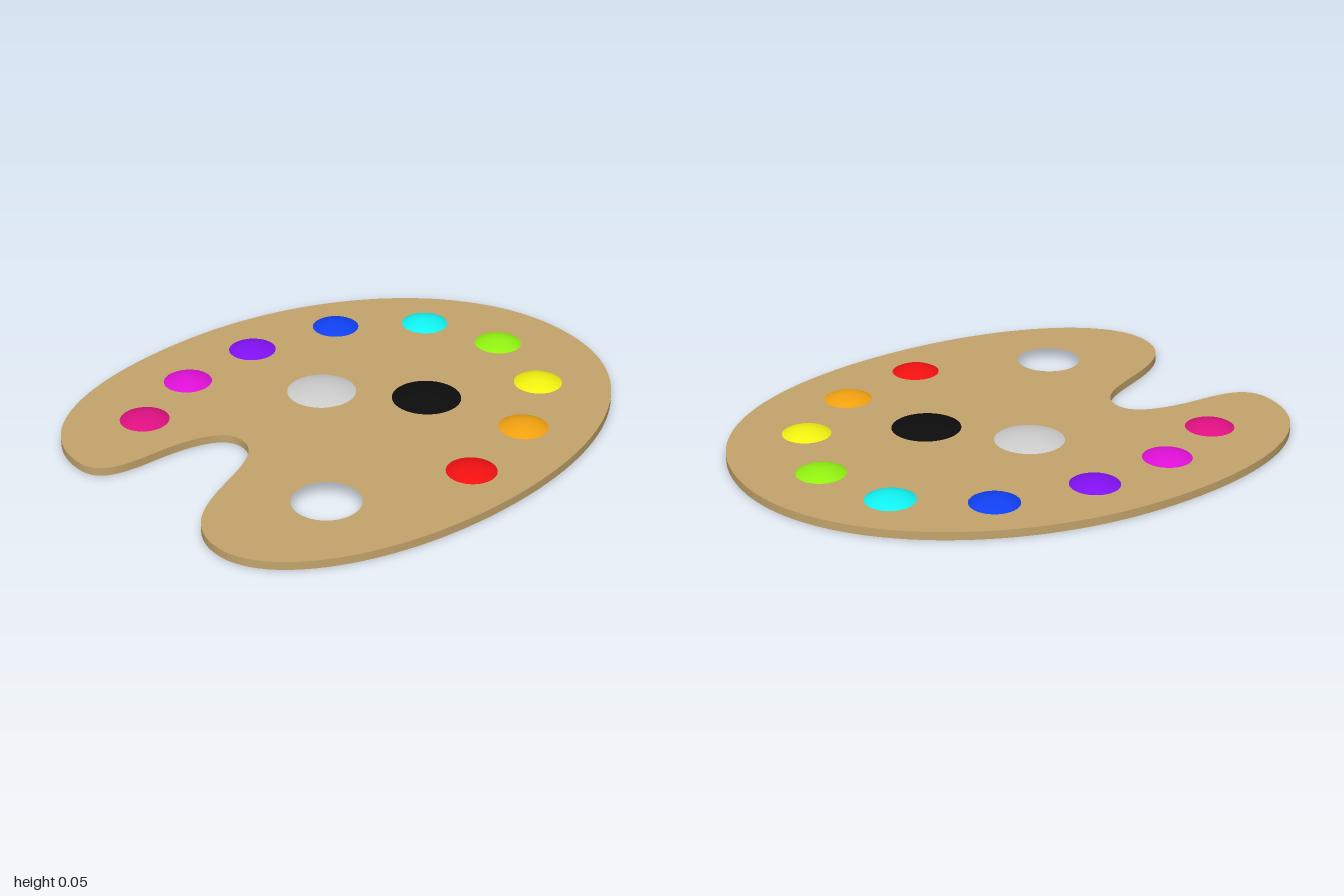
import * as THREE from 'three';

const THICKNESS = 0.03;
const DOME = 0.024;

// Kidney-shaped board with a thumb hole; the shape's y is -z
function boardGeometry() {
  const shape = new THREE.Shape();
  const curve = (ax, az, bx, bz, x, z) => shape.bezierCurveTo(ax, -az, bx, -bz, x, -z);
  shape.moveTo(-0.12, 0.832);
  curve(0.5, -0.832, 1, -0.45, 1, 0.03);          // back right
  curve(1, 0.58, 0.45, 0.828, -0.12, 0.828);      // front right
  curve(-0.62, 0.828, -0.975, 0.63, -0.975, 0.4); // front lobe
  curve(-0.975, 0.08, -0.48, 0.12, -0.48, -0.09); // into the notch
  curve(-0.48, -0.19, -0.62, -0.22, -0.8, -0.22); // out of the notch
  curve(-0.93, -0.225, -1, -0.25, -1, -0.35);     // tip of back lobe
  curve(-1, -0.66, -0.6, -0.832, -0.12, -0.832);  // back lobe

  const hole = new THREE.Path();
  hole.absarc(-0.525, -0.423, 0.122, 0, Math.PI * 2, true);
  shape.holes.push(hole);

  const geometry = new THREE.ExtrudeGeometry(shape, {
    depth: THICKNESS, bevelEnabled: false, curveSegments: 32,
  });
  return geometry.rotateX(-Math.PI / 2);
}

// Shallow spherical cap whose rim lies at y = 0
function capGeometry(radius) {
  const R = (radius * radius + DOME * DOME) / (2 * DOME);
  const geometry = new THREE.SphereGeometry(R, 48, 12, 0, Math.PI * 2, 0, Math.asin(radius / R));
  return geometry.translate(0, DOME - R, 0);
}

export function createModel() {
  const model = new THREE.Group();
  model.name = 'paintPalette';

  const add = (name, geometry, color) => {
    const mesh = new THREE.Mesh(geometry, new THREE.MeshStandardMaterial({ color }));
    mesh.name = name;
    model.add(mesh);
    return mesh;
  };

  add('board', boardGeometry(), 0xc4a46c);

  // Paint dabs: name, colour, x, z, radius
  const small = 0.09, large = 0.128;
  const dabs = [
    ['pinkPaint', 0xdd1080, -0.647, -0.437, small],
    ['magentaPaint', 0xdd10d5, -0.354, -0.562, small],
    ['purplePaint', 0x8010f0, -0.012, -0.598, small],
    ['bluePaint', 0x1040f0, 0.356, -0.53, small],
    ['cyanPaint', 0x10f0f0, 0.637, -0.316, small],
    ['greenPaint', 0x90f010, 0.732, -0.003, small],
    ['yellowPaint', 0xf0f010, 0.615, 0.321, small],
    ['orangePaint', 0xf0a010, 0.332, 0.518, small],
    ['redPaint', 0xf01010, -0.022, 0.61, small],
    ['greyPaint', 0xc0c0c0, -0.032, -0.168, large],
    ['blackPaint', 0x0c0c0c, 0.223, 0.128, large],
  ];
  for (const [name, color, x, z, radius] of dabs) {
    add(name, capGeometry(radius), color).position.set(x, THICKNESS, z);
  }
  return model;
}
